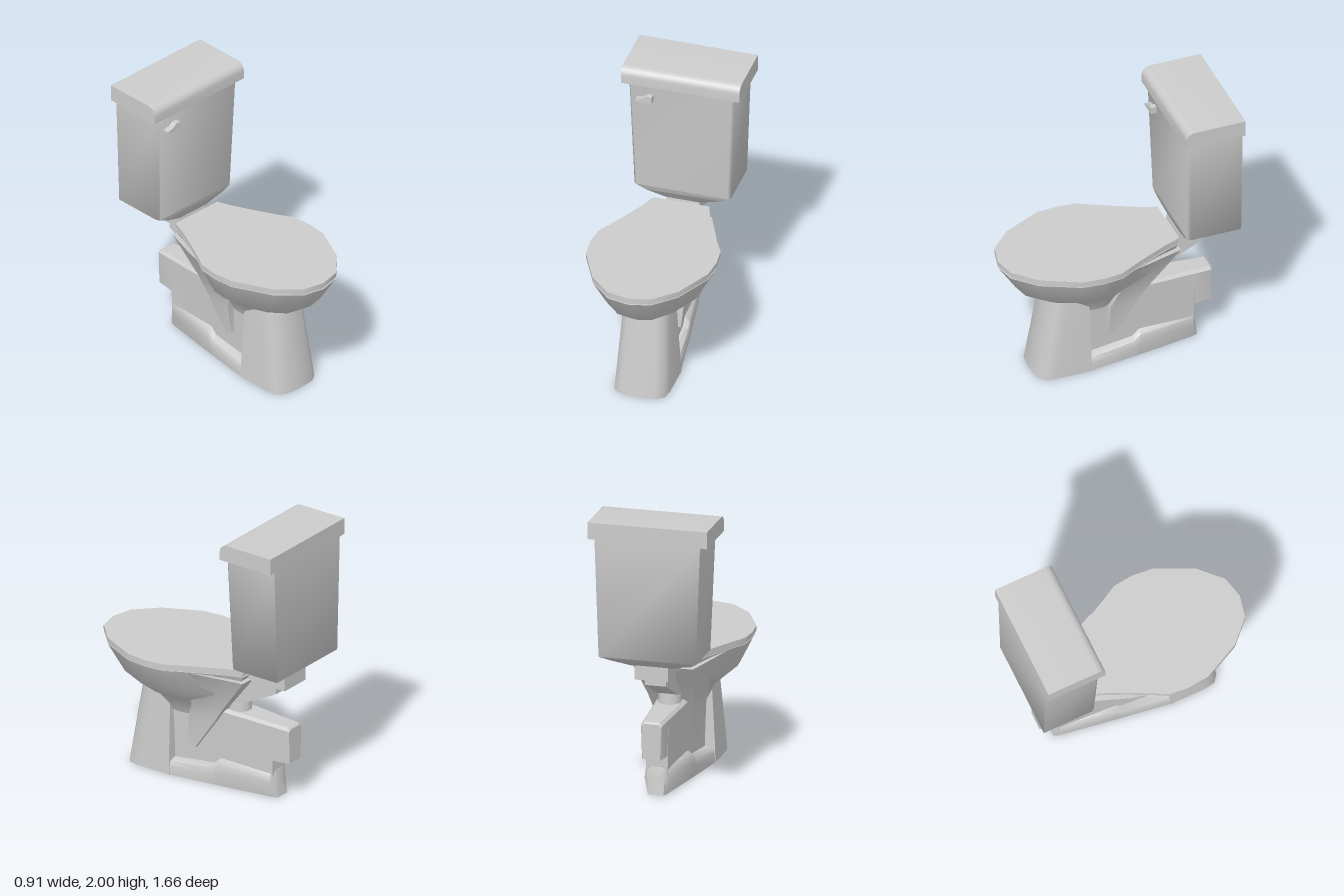
import * as THREE from 'three';
import { toCreasedNormals } from 'three/addons/utils/BufferGeometryUtils.js';

const material = new THREE.MeshStandardMaterial({ color: 0xcccccc });

function part(name, geometry, crease = 0.6) {
  const mesh = new THREE.Mesh(toCreasedNormals(geometry, crease), material);
  mesh.name = name;
  return mesh;
}

// Skin a list of equal-length rings, closing both ends with a fan
function loft(rings) {
  const n = rings[0].length;
  const pos = rings.flat(2);
  const idx = [];
  for (let i = 0; i < rings.length - 1; i++) {
    for (let j = 0; j < n; j++) {
      const k = (j + 1) % n;
      const a = i * n + j, b = i * n + k, c = b + n, d = a + n;
      idx.push(a, b, c, a, c, d);
    }
  }
  [0, rings.length - 1].forEach((r, end) => {
    const centre = [0, 1, 2].map((c) => rings[r].reduce((s, p) => s + p[c], 0) / n);
    const m = pos.push(...centre) / 3 - 1;
    for (let j = 0; j < n; j++) {
      const a = r * n + j, b = r * n + (j + 1) % n;
      idx.push(...(end ? [m, a, b] : [m, b, a]));
    }
  });
  const g = new THREE.BufferGeometry();
  g.setAttribute('position', new THREE.Float32BufferAttribute(pos, 3));
  g.setIndex(idx);
  return g;
}

// Side profile in (z, y), extruded across x
function prism(profile, x0, x1) {
  const shape = new THREE.Shape(profile.map(([z, y]) => new THREE.Vector2(z, y)));
  return new THREE.ExtrudeGeometry(shape, { depth: x1 - x0, bevelEnabled: false })
    .rotateY(-Math.PI / 2).translate(x1, 0, 0);
}

// Half outline of the seat, rear to front, mirrored into a closed ring
const half = [[0.2, -0.43], [0.24, -0.32], [0.31, -0.17], [0.385, -0.02], [0.44, 0.08],
  [0.455, 0.22], [0.44, 0.375], [0.31, 0.645], [0.155, 0.795]];
const outline = [[0, 0.83], ...half.slice().reverse(), ...half.map(([x, z]) => [-x, z])];

// Seat outline fitted to a half width and a rear/front range
const seatRing = (y, w, rear, front) => outline.map(([x, z]) =>
  [x * w / 0.455, y, rear + (z + 0.43) / 1.26 * (front - rear)]);

export function createModel() {
  const model = new THREE.Group();
  const add = (...args) => model.add(part(...args));

  // Tank lid with a rounded front top edge
  const lid = [[-0.835, 1.88], [-0.4, 1.88]];
  for (let i = 0; i <= 6; i++) {
    const a = i / 6 * Math.PI / 2;
    lid.push([-0.46 + 0.06 * Math.cos(a), 1.94 + 0.06 * Math.sin(a)]);
  }
  lid.push([-0.835, 2]);
  add('tankLid', prism(lid, -0.427, 0.427));

  // Tank: tapered body with slim front corners and a bulging underside
  const tankRing = ([y, w, front, back]) => [
    [w, y, front - 0.02], [w, y, back], [-w, y, back],
    [-w, y, front - 0.02], [-w + 0.015, y, front], [w - 0.015, y, front]];
  add('tank', loft([
    [0.955, 0.14, -0.465, -0.72], [1.0, 0.28, -0.45, -0.78],
    [1.035, 0.348, -0.445, -0.833], [1.89, 0.378, -0.42, -0.833],
  ].map(tankRing)), 1.2);

  // Flush lever on the front of the tank
  const lever = new THREE.Shape([[-0.2, 1.76], [-0.2, 1.81], [-0.24, 1.81], [-0.265, 1.79],
    [-0.318, 1.775], [-0.318, 1.76]].map((p) => new THREE.Vector2(...p)));
  add('flushLever', new THREE.ExtrudeGeometry(lever, { depth: 0.055, bevelEnabled: false })
    .translate(0, 0, -0.435));

  // Seat cover, seat ring and bowl share one outline
  add('seatCover', loft([seatRing(0.927, 0.455, -0.43, 0.83), seatRing(0.96, 0.455, -0.43, 0.83)]));
  add('seat', loft([seatRing(0.9, 0.445, -0.42, 0.82), seatRing(0.93, 0.445, -0.42, 0.82)]));
  add('bowl', loft([
    seatRing(0.48, 0.15, -0.08, 0.36), seatRing(0.603, 0.21, -0.2, 0.5),
    seatRing(0.625, 0.25, -0.24, 0.58), seatRing(0.71, 0.35, -0.31, 0.7),
    seatRing(0.91, 0.45, -0.43, 0.83),
  ]), 0.9);

  // Neck joining bowl and tank, with the sloping outlet below it
  add('tankNeck', prism([[-0.35, 0.91], [-0.46, 0.91], [-0.47, 0.965], [-0.73, 0.965],
    [-0.73, 0.86], [-0.45, 0.86], [-0.35, 0.87]], -0.12, 0.12));
  add('bowlOutlet', prism([[-0.1, 0.6], [-0.1, 0.88], [-0.62, 0.88], [-0.62, 0.79],
    [-0.33, 0.645], [-0.25, 0.62]], -0.075, 0.075));
  add('outletCollar', new THREE.CylinderGeometry(0.075, 0.085, 0.14, 16).translate(0, 0.6, -0.26));

  // Pedestal front, rounded across the face
  const pedestalRing = ([y, w, front, back]) => [
    [w, y, front - 0.13], [w, y, back], [-w, y, back], [-w, y, front - 0.13],
    [-w * 0.93, y, front - 0.05], [-w * 0.65, y, front - 0.01], [0, y, front],
    [w * 0.65, y, front - 0.01], [w * 0.93, y, front - 0.05]];
  add('pedestal', loft([[0, 0.195, 0.6, 0.2], [0.11, 0.19, 0.582, 0.21],
    [0.605, 0.162, 0.5, 0.22]].map(pedestalRing)), 1.2);

  // Recessed trap housing running to the rear
  const housingRing = ([z, w, low, high]) => [[w * 0.9, low, z], [w, high - 0.02, z],
    [w - 0.02, high, z], [0.02 - w, high, z], [-w, high - 0.02, z], [-w * 0.9, low, z]];
  add('trapHousing', loft([
    [-0.73, 0.07, 0.29, 0.545], [-0.715, 0.078, 0.29, 0.557], [-0.595, 0.085, 0.28, 0.56],
    [-0.59, 0.085, 0.1, 0.56], [-0.13, 0.115, 0.1, 0.575], [0.25, 0.13, 0.1, 0.57],
  ].map(housingRing)), 0.5);

  // Foot: low base narrowing to the rear, with rounded shoulders and a stepped top
  const footRing = ([z, base, w, h, lean]) => {
    const right = [[base, 0, z], [w, h * 0.55, z + lean * 0.55],
      [w * 0.93, h * 0.86, z + lean * 0.9], [w * 0.7, h, z + lean]];
    return [...right, ...right.map(([x, y, d]) => [-x, y, d]).reverse()];
  };
  add('foot', loft([
    [-0.62, 0.055, 0.06, 0.195, 0.025], [-0.58, 0.068, 0.09, 0.2, 0], [-0.17, 0.135, 0.15, 0.195, 0],
    [-0.12, 0.142, 0.155, 0.15, 0], [0.22, 0.193, 0.19, 0.11, 0], [0.3, 0.193, 0.19, 0.11, 0],
  ].map(footRing)), 0.9);

  // Side braces: the flanks of the bowl narrowing to legs on the housing
  const brace = [
    [[0.15, 0.27, 0.07], [0.145, 0.24, 0.02], [0.1, 0.24, 0.02], [0.1, 0.27, 0.07]],
    [[0.17, 0.48, 0.06], [0.15, 0.48, -0.15], [0.1, 0.48, -0.15], [0.1, 0.48, 0.06]],
    [[0.2, 0.62, 0], [0.165, 0.6, -0.23], [0.03, 0.6, -0.23], [0.18, 0.62, 0.1]],
    [[0.335, 0.905, -0.16], [0.215, 0.87, -0.44], [0, 0.87, -0.44], [0.385, 0.905, 0.04]]];
  for (const side of [1, -1]) {
    const rings = brace.map((ring) => {
      const r = ring.map(([x, y, z]) => [x * side, y, z]);
      return side < 0 ? r.reverse() : r;
    });
    add(side > 0 ? 'leftBrace' : 'rightBrace', loft(rings), 0.9);
  }
  return model;
}
